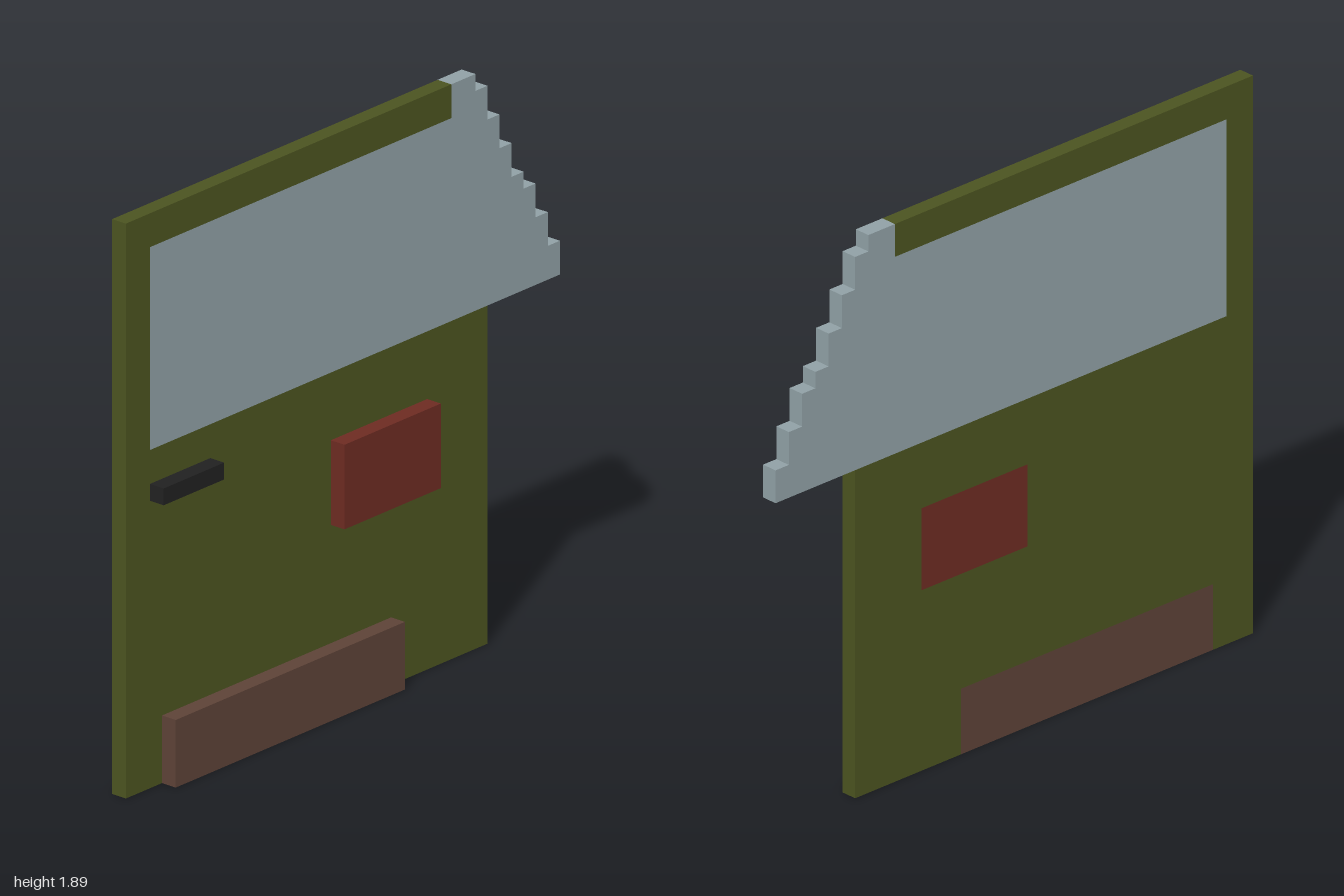
import * as THREE from 'three';

// All outlines are in grid cells; the door is 36 cells wide and stands on y = 0.
const U = 1 / 18;
const point = ([x, y]) => new THREE.Vector2(x * U - 1, y * U);
const rect = (x0, y0, x1, y1) => [[x0, y0], [x1, y0], [x1, y1], [x0, y1]];

const material = (name, color) => {
  const m = new THREE.MeshStandardMaterial({ color });
  m.name = name;
  return m;
};

// Flat plate from z0 to z1 (in cells) with optional holes
function plate(name, mat, outline, z0, z1, holes = []) {
  const shape = new THREE.Shape(outline.map(point));
  for (const h of holes) shape.holes.push(new THREE.Path(h.map(point)));
  const geo = new THREE.ExtrudeGeometry(shape, { depth: (z1 - z0) * U, bevelEnabled: false });
  geo.translate(0, 0, z0 * U);
  const mesh = new THREE.Mesh(geo, mat);
  mesh.name = name;
  return mesh;
}

export function createModel() {
  const olive = material('olive paint', 0x4b5320);
  const glass = material('grey glass', 0x90a0a5);
  const red = material('dark red', 0x6d2b22);
  const brown = material('brown', 0x5d4237);
  const black = material('black', 0x212121);

  const door = new THREE.Group();
  door.name = 'door';

  const pocket = rect(17, 11, 25, 16);

  // Door skin: lower panel notched for the sill, front pillar and top rail
  door.add(plate('doorPanel', olive, [
    [0, 0], [3, 0], [3, 4], [22, 4], [22, 0], [30, 0], [30, 20],
    [2, 20], [2, 32], [27, 32], [27, 34], [0, 34],
  ], -1, 0, [pocket]));

  // Window with a stepped slanted edge: [right edge, top of step]
  const steps = [[36, 22], [35, 24], [34, 26], [33, 27], [32, 29], [31, 31], [30, 33], [29, 34]];
  const windowOutline = [[2, 20], [36, 20]];
  steps.forEach(([x, top], i) => {
    windowOutline.push([x, top]);
    if (i < steps.length - 1) windowOutline.push([steps[i + 1][0], top]);
  });
  windowOutline.push([27, 34], [27, 32], [2, 32]);
  door.add(plate('window', glass, windowOutline, -1, 0));

  // Blocks that pass through the skin and stand out at the front
  door.add(plate('redPocket', red, pocket, -1, 1));
  door.add(plate('brownSill', brown, rect(3, 0, 22, 4), -1, 1));

  // Handle on the front only
  door.add(plate('handle', black, rect(2, 17, 7, 18), 0, 1));

  return door;
}
